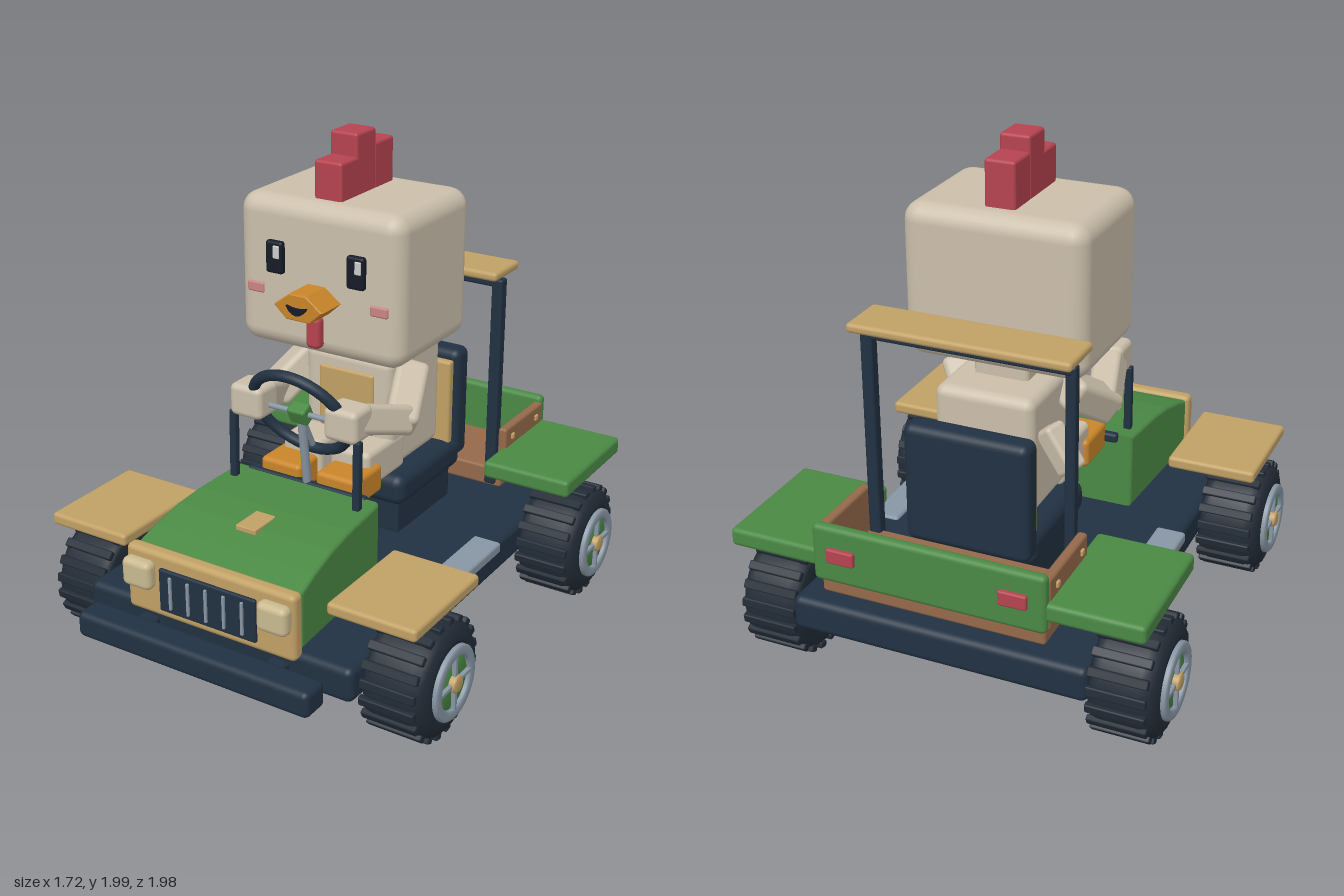
import * as THREE from 'three';
import { RoundedBoxGeometry } from 'three/addons/geometries/RoundedBoxGeometry.js';

const mat = (color) => new THREE.MeshStandardMaterial({ color });
const NAVY = mat(0x213142), GREEN = mat(0x4a8844), TAN = mat(0xc0a065), BEIGE = mat(0xcbbfab),
  BROWN = mat(0x94694a), RED = mat(0xb5434f), ORANGE = mat(0xc98529), GREY = mat(0x8795a3),
  BLACK = mat(0x151b26), TYRE = mat(0x222b36), PINK = mat(0xc98582), LAMP = mat(0xc9b98f), WHITE = mat(0xe8e8e8);

function add(parent, name, geometry, material) {
  const mesh = new THREE.Mesh(geometry, material);
  mesh.name = name;
  parent.add(mesh);
  return mesh;
}

// Rounded box given by its extents on each axis
function box(parent, name, material, [x0, x1], [y0, y1], [z0, z1], r = 0.012) {
  const w = x1 - x0, h = y1 - y0, d = z1 - z0;
  const geo = r > 0
    ? new RoundedBoxGeometry(w, h, d, 3, Math.min(r, w * 0.49, h * 0.49, d * 0.49))
    : new THREE.BoxGeometry(w, h, d);
  const mesh = add(parent, name, geo, material);
  mesh.position.set((x0 + x1) / 2, (y0 + y1) / 2, (z0 + z1) / 2);
  return mesh;
}

// The same box on the left (+x) and right (-x)
function pair(parent, name, material, [x0, x1], y, z, r) {
  box(parent, name + 'Left', material, [x0, x1], y, z, r);
  box(parent, name + 'Right', material, [-x1, -x0], y, z, r);
}

// Square or round bar between two points
function bar(parent, name, material, a, b, thick, round = false) {
  const from = new THREE.Vector3(...a), to = new THREE.Vector3(...b);
  const len = from.distanceTo(to);
  const geo = round ? new THREE.CylinderGeometry(thick / 2, thick / 2, len, 16)
    : new RoundedBoxGeometry(thick, len, thick, 3, thick * 0.2);
  const mesh = add(parent, name, geo, material);
  mesh.position.copy(from).lerp(to, 0.5);
  mesh.quaternion.setFromUnitVectors(new THREE.Vector3(0, 1, 0), to.sub(from).normalize());
  return mesh;
}

// Wheel whose axle is +x, outer face outwards
function makeWheel(name) {
  const wheel = new THREE.Group();
  wheel.name = name;
  const lathe = (part, material, points) => {
    const geo = new THREE.LatheGeometry(points.map(([r, x]) => new THREE.Vector2(r, x)), 36);
    add(wheel, part, geo.rotateZ(-Math.PI / 2), material);
  };
  lathe('tyre', TYRE, [[0, -0.105], [0.14, -0.115], [0.195, -0.113], [0.216, -0.1], [0.224, -0.07],
    [0.224, 0.08], [0.215, 0.11], [0.195, 0.126], [0.165, 0.137], [0.14, 0.137], [0.135, 0.11]]);
  lathe('rim', GREY, [[0.145, 0.1], [0.145, 0.15], [0.138, 0.157], [0.11, 0.157], [0.103, 0.15], [0.103, 0.1]]);
  lathe('wheelDisc', GREEN, [[0.106, 0.09], [0.106, 0.14], [0, 0.14]]);
  lathe('hubCap', TAN, [[0.034, 0.13], [0.034, 0.16], [0.028, 0.167], [0, 0.167]]);
  for (let i = 0; i < 4; i++) {
    const a = i * Math.PI / 2;
    bar(wheel, 'spoke', GREY, [0.147, 0.03 * Math.cos(a), 0.03 * Math.sin(a)],
      [0.147, 0.112 * Math.cos(a), 0.112 * Math.sin(a)], 0.018);
  }
  for (let i = 0; i < 20; i++) {
    const a = (i + 0.5) / 20 * Math.PI * 2;
    const lug = add(wheel, 'treadLug', new RoundedBoxGeometry(0.225, 0.026, 0.036, 1, 0.006), TYRE);
    lug.position.set(0, 0.224 * Math.cos(a), 0.224 * Math.sin(a));
    lug.rotation.x = a;
  }
  return wheel;
}

// Side profile extruded across, narrowing towards the rear
function makeHood() {
  const s = new THREE.Shape([[0.22, 0.37], [0.78, 0.37], [0.78, 0.575], [0.7, 0.605], [0.57, 0.637],
    [0.44, 0.653], [0.22, 0.663]].map(([z, y]) => new THREE.Vector2(z, y)));
  const geo = new THREE.ExtrudeGeometry(s, { depth: 0.69, bevelSize: 0.014, bevelThickness: 0.02, bevelSegments: 3 });
  geo.translate(0, 0, -0.345).rotateY(-Math.PI / 2);
  const p = geo.attributes.position;
  for (let i = 0; i < p.count; i++) {
    p.setX(i, p.getX(i) * THREE.MathUtils.mapLinear(p.getZ(i), 0.2, 0.8, 0.9, 1));
  }
  geo.computeVertexNormals();
  return geo;
}

function makeCar() {
  const car = new THREE.Group();
  car.name = 'car';
  box(car, 'chassis', NAVY, [-0.59, 0.59], [0.22, 0.36], [-0.92, 0.825], 0.03);
  box(car, 'frontBumper', NAVY, [-0.515, 0.515], [0.225, 0.33], [0.87, 0.99], 0.025);
  pair(car, 'bumperBracket', NAVY, [0.25, 0.33], [0.25, 0.31], [0.8, 0.89]);
  pair(car, 'sideStep', GREY, [0.49, 0.61], [0.325, 0.372], [-0.275, 0.085]);
  for (const [end, z] of [['front', 0.537], ['rear', -0.693]]) {
    for (const side of [1, -1]) {
      const wheel = makeWheel(end + (side > 0 ? 'LeftWheel' : 'RightWheel'));
      wheel.position.set(side * 0.695, 0.247, z);
      if (side < 0) wheel.rotation.y = Math.PI;
      car.add(wheel);
    }
  }
  pair(car, 'frontFender', TAN, [0.45, 0.81], [0.517, 0.567], [0.305, 0.77], 0.015);
  pair(car, 'rearFender', GREEN, [0.435, 0.81], [0.547, 0.62], [-0.955, -0.435], 0.018);

  // Hood and front face
  add(car, 'hood', makeHood(), GREEN);
  box(car, 'hoodStripe', TAN, [-0.045, 0.045], [0.64, 0.662], [0.41, 0.615], 0.004);
  box(car, 'cowl', NAVY, [-0.27, 0.27], [0.645, 0.685], [0.185, 0.22]);
  box(car, 'frontPanel', TAN, [-0.375, 0.375], [0.333, 0.6], [0.793, 0.853], 0.022);
  box(car, 'grille', NAVY, [-0.215, 0.215], [0.37, 0.545], [0.84, 0.866], 0.008);
  for (let i = -2; i <= 2; i++) {
    box(car, 'grilleBar', GREY, [i * 0.08 - 0.006, i * 0.08 + 0.006], [0.39, 0.525], [0.86, 0.875], 0.004);
  }
  pair(car, 'headlight', LAMP, [0.235, 0.365], [0.45, 0.565], [0.84, 0.9], 0.025);
  for (const s of [1, -1]) bar(car, 'windshieldPost', NAVY, [s * 0.28, 0.65, 0.29], [s * 0.28, 0.95, 0.285], 0.03);

  // Steering
  bar(car, 'steeringColumn', GREY, [0, 0.59, 0.19], [0, 0.98, 0.24], 0.035, true);
  const steering = new THREE.Group();
  steering.name = 'steeringWheel';
  steering.position.set(0, 0.985, 0.245);
  steering.rotation.x = 0.48;
  add(steering, 'steeringRim', new THREE.TorusGeometry(0.203, 0.022, 12, 40), NAVY);
  bar(steering, 'steeringSpokes', GREY, [-0.2, 0, 0], [0.2, 0, 0], 0.022, true);
  bar(steering, 'steeringLowerSpoke', GREY, [0, 0, 0], [0, -0.2, 0], 0.022, true);
  box(steering, 'steeringHub', GREEN, [-0.04, 0.04], [-0.037, 0.037], [-0.03, 0.03]);
  car.add(steering);

  // Seat
  box(car, 'seatCushion', NAVY, [-0.25, 0.25], [0.495, 0.627], [-0.6, -0.095], 0.045);
  box(car, 'seatBase', NAVY, [-0.21, 0.21], [0.35, 0.51], [-0.57, -0.14]);
  box(car, 'seatBack', NAVY, [-0.25, 0.25], [0.54, 1.02], [-0.65, -0.545], 0.035);
  box(car, 'seatBackPanel', TAN, [-0.23, 0.23], [0.6, 0.98], [-0.55, -0.51]);

  // Cargo bed
  box(car, 'bedBase', BROWN, [-0.44, 0.44], [0.435, 0.52], [-0.935, -0.59]);
  pair(car, 'bedSide', BROWN, [0.42, 0.458], [0.5, 0.705], [-0.935, -0.59]);
  for (const z of [-0.65, -0.87]) pair(car, 'bedRivet', TAN, [0.45, 0.467], [0.645, 0.67], [z - 0.012, z + 0.012], 0.005);
  box(car, 'tailgate', GREEN, [-0.455, 0.455], [0.5, 0.73], [-0.968, -0.922], 0.02);
  pair(car, 'tailLight', RED, [0.28, 0.39], [0.592, 0.65], [-0.985, -0.95], 0.008);

  // Roll bar and roof board
  bar(car, 'rollBarLeft', NAVY, [0.395, 0.45, -0.597], [0.395, 1.35, -0.597], 0.048);
  bar(car, 'rollBarRight', NAVY, [-0.395, 0.45, -0.597], [-0.395, 1.35, -0.597], 0.04);
  bar(car, 'rollBarTop', NAVY, [-0.4, 1.34, -0.597], [0.4, 1.34, -0.597], 0.048);
  box(car, 'roofBoard', TAN, [-0.43, 0.43], [1.366, 1.403], [-0.7, -0.492], 0.015);
  return car;
}

function makeDriver() {
  const bird = new THREE.Group();
  bird.name = 'driver';
  box(bird, 'body', BEIGE, [-0.198, 0.198], [0.645, 1.117], [-0.492, -0.085], 0.04);
  box(bird, 'chestPatch', TAN, [-0.125, 0.125], [0.79, 1.05], [-0.11, -0.075]);
  box(bird, 'neck', BEIGE, [-0.11, 0.11], [1.09, 1.2], [-0.33, -0.12], 0.02);
  box(bird, 'head', BEIGE, [-0.36, 0.36], [1.173, 1.767], [-0.41, 0.13], 0.07);

  // Comb and wattle
  box(bird, 'combFront', RED, [-0.06, 0.06], [1.74, 1.912], [-0.085, 0.052]);
  box(bird, 'combMiddle', RED, [-0.06, 0.06], [1.75, 2], [-0.192, -0.056]);
  box(bird, 'combBack', RED, [-0.06, 0.06], [1.74, 1.942], [-0.322, -0.182]);
  box(bird, 'wattle', RED, [-0.031, 0.031], [1.215, 1.342], [0.11, 0.167], 0.02);

  // Face
  pair(bird, 'eye', BLACK, [0.14, 0.216], [1.478, 1.605], [0.12, 0.152]);
  for (const x of [0.18, -0.178]) box(bird, 'eyeHighlight', WHITE, [x, x + 0.027], [1.54, 1.59], [0.14, 0.158], 0.004);
  pair(bird, 'cheek', PINK, [0.235, 0.31], [1.385, 1.427], [0.11, 0.138], 0.008);
  const outline = [[-0.1, 1.405], [-0.05, 1.36], [0.05, 1.36], [0.1, 1.405], [0.035, 1.453], [-0.035, 1.453]];
  const beak = new THREE.ExtrudeGeometry(new THREE.Shape(outline.map(([x, y]) => new THREE.Vector2(x, y))),
    { depth: 0.13, bevelSize: 0.005, bevelThickness: 0.008, bevelSegments: 2 });
  add(bird, 'beak', beak, ORANGE).position.z = 0.12;
  const smile = new THREE.Shape().moveTo(-0.045, 1.415).quadraticCurveTo(0, 1.4, 0.045, 1.415)
    .quadraticCurveTo(0.03, 1.382, 0, 1.38).quadraticCurveTo(-0.03, 1.382, -0.045, 1.415);
  add(bird, 'mouth', new THREE.ExtrudeGeometry(smile, { depth: 0.02, bevelEnabled: false }), BLACK).position.z = 0.25;

  // Arms reaching for the steering wheel
  for (const s of [1, -1]) {
    bar(bird, 'upperArm', BEIGE, [s * 0.215, 1.06, -0.22], [s * 0.295, 0.91, 0.01], 0.13);
    bar(bird, 'forearm', BEIGE, [s * 0.295, 0.925, -0.03], [s * 0.22, 1.01, 0.24], 0.115);
  }
  pair(bird, 'hand', BEIGE, [0.14, 0.285], [0.935, 1.067], [0.18, 0.312], 0.025);
  // Small satchel at the right hip
  bar(bird, 'satchel', BEIGE, [-0.22, 0.99, -0.4], [-0.33, 0.84, -0.42], 0.09);

  pair(bird, 'leg', BEIGE, [0.02, 0.2], [0.633, 0.79], [-0.21, 0.077], 0.025);
  pair(bird, 'foot', ORANGE, [0.035, 0.22], [0.615, 0.732], [0, 0.203], 0.02);
  return bird;
}

export function createModel() {
  const model = new THREE.Group();
  model.name = 'birdInBuggy';
  model.add(makeCar(), makeDriver());
  return model;
}
